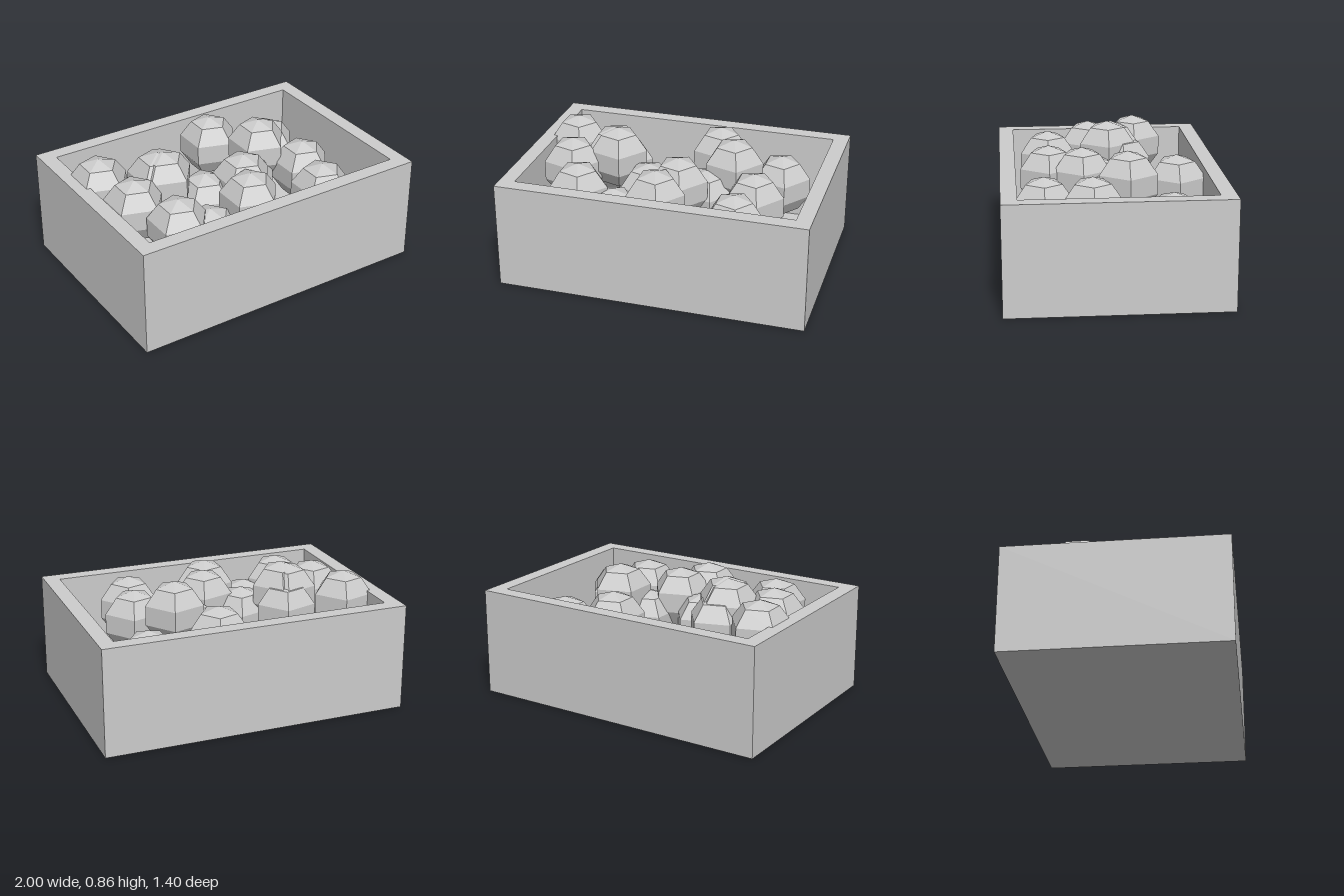
import * as THREE from 'three';

const grey = new THREE.MeshStandardMaterial({ color: 0xcccccc });
grey.name = 'plain grey';

// Rectangle outline, used for both the rim and its opening
function rectangle(PathType, w, d) {
  const p = new PathType();
  p.moveTo(-w / 2, -d / 2);
  p.lineTo(w / 2, -d / 2);
  p.lineTo(w / 2, d / 2);
  p.lineTo(-w / 2, d / 2);
  p.closePath();
  return p;
}

// Open box: four walls extruded upwards, plus a floor
function createCrate() {
  const crate = new THREE.Group();
  crate.name = 'crate';
  const outline = rectangle(THREE.Shape, 2, 1.4);
  outline.holes.push(rectangle(THREE.Path, 1.8, 1.2));
  const wallGeometry = new THREE.ExtrudeGeometry(outline, { depth: 0.7, bevelEnabled: false });
  wallGeometry.rotateX(-Math.PI / 2);
  const walls = new THREE.Mesh(wallGeometry, grey);
  walls.name = 'walls';
  const floor = new THREE.Mesh(new THREE.BoxGeometry(1.8, 0.1, 1.2), grey);
  floor.name = 'floor';
  floor.position.y = 0.05;
  crate.add(walls, floor);
  return crate;
}

// Faceted five-sided fruit, one corner pointing to +x
const RADIUS = 0.205;
function fruitGeometry() {
  const geometry = new THREE.SphereGeometry(RADIUS, 5, 5).rotateY(Math.PI).toNonIndexed();
  geometry.computeVertexNormals();
  return geometry;
}

// Fruit positions: x, height of the tip, z
const FRUIT = [
  [0.166, 0.765, -0.435], [0.604, 0.64, -0.366], [-0.78, 0.82, -0.243],
  [-0.705, 0.80, 0.078], [-0.427, 0.86, -0.035], [-0.455, 0.855, -0.06],
  [-0.42, 0.76, -0.136], [-0.187, 0.68, 0.072], [0.198, 0.66, 0.005],
  [0.34, 0.84, -0.103], [0.042, 0.795, 0.167], [0.533, 0.73, 0.132],
  [0.476, 0.72, 0.43], [-0.045, 0.79, 0.38], [-0.564, 0.765, 0.366],
  [-0.334, 0.62, 0.366],
];

export function createModel() {
  const model = new THREE.Group();
  model.name = 'crateOfFruit';
  model.add(createCrate());

  const pile = new THREE.Group();
  pile.name = 'fruitPile';
  const geometry = fruitGeometry();
  FRUIT.forEach(([x, tip, z], i) => {
    const fruit = new THREE.Mesh(geometry, grey);
    fruit.name = `fruit${i + 1}`;
    fruit.position.set(x, tip - RADIUS, z);
    pile.add(fruit);
  });
  model.add(pile);
  return model;
}
